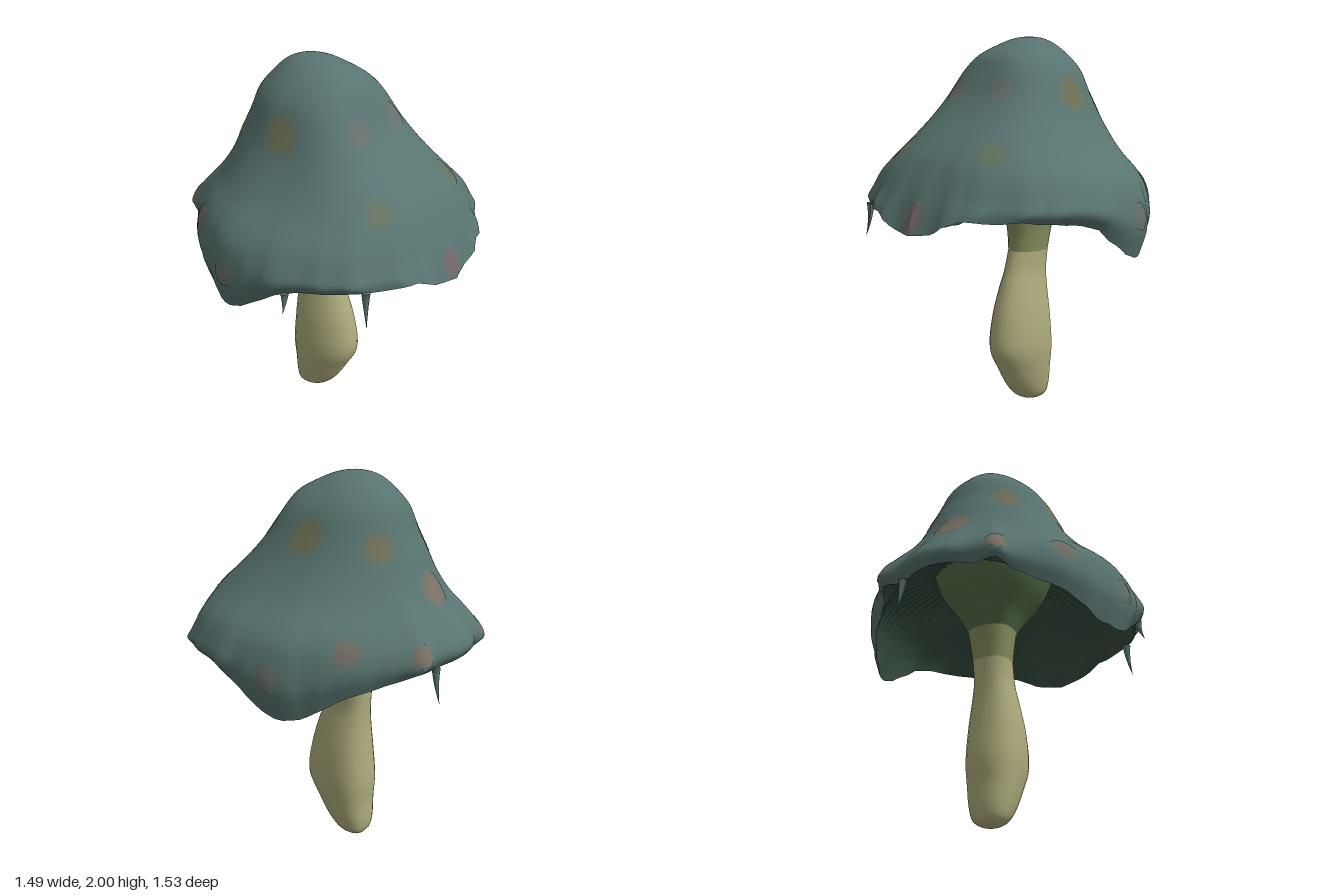
import * as THREE from 'three';

const SEG = 112;
const V = (x, y, z) => new THREE.Vector3(x, y, z);
const rad = THREE.MathUtils.degToRad;
const lerp = THREE.MathUtils.lerp;
const mat = (color) => new THREE.MeshStandardMaterial({ color, roughness: 0.9, side: THREE.DoubleSide });

// Surface through rows of points; rows run top to bottom, points run around +z -> +x
function loft(rows) {
  const n = rows[0].length, pos = [], idx = [];
  rows.forEach((row) => row.forEach((p) => pos.push(p.x, p.y, p.z)));
  for (let r = 0; r < rows.length - 1; r++) {
    for (let c = 0; c < n; c++) {
      const d = (c + 1) % n, a = r * n, b = a + n;
      idx.push(a + c, b + c, a + d, b + c, b + d, a + d);
    }
  }
  const g = new THREE.BufferGeometry();
  g.setAttribute('position', new THREE.Float32BufferAttribute(pos, 3));
  g.setIndex(idx);
  g.computeVertexNormals();
  return g;
}

function add(group, name, geometry, material) {
  const m = new THREE.Mesh(geometry, material);
  m.name = name;
  group.add(m);
  return m;
}

// Point on an egg-shaped ring: front z, back z, half width, centre z;
// the powers make the front or back half squarer (above 2) or more pointed (below 2)
function ringPoint(a, y, zf, zb, w, zc, frontPower, backPower) {
  const s = Math.sin(a), c = Math.cos(a), p = c > 0 ? frontPower : backPower;
  const k = (Math.abs(s) ** p + Math.abs(c) ** p) ** (-1 / p);
  return V(w * s * k, y, zc + c * k * (c > 0 ? zf - zc : zc - zb));
}

// Rim height by angle from the front, mirrored left and right
const rimKeys = [[0, 1.04], [12, 1.07], [22, 1.13], [45, 1.13], [66, 1.11], [74, 1.07], [82, 1.0], [90, 0.93], [98, 0.89],
  [106, 0.905], [114, 0.95], [124, 1.01], [142, 1.065], [155, 1.09], [168, 1.12], [180, 1.13]];
function rimHeight(a) {
  const d = Math.abs(THREE.MathUtils.radToDeg(Math.atan2(Math.sin(a), Math.cos(a))));
  const i = Math.max(1, rimKeys.findIndex((k) => d <= k[0] + 1e-6));
  const [p, q] = [rimKeys[i - 1], rimKeys[i]];
  return lerp(p[1], q[1], (d - p[0]) / (q[0] - p[0]));
}

// Ragged ripple of the rim, plus a curled corner at each side of the back
function ripple(a) {
  const s = Math.abs(Math.atan2(Math.sin(a), Math.cos(a)));
  const rag = 0.5 * Math.cos(14 * s + 1) + 0.4 * Math.cos(25 * s) + 0.3 * Math.cos(37 * s + 2);
  return rag * (0.6 + 0.4 * Math.cos(a)) * 0.02 + 0.07 * Math.exp(-(((s - 2.7) / 0.09) ** 2));
}

// Cap levels: y, front z, back z, half width, front power, back power
const capRows = [[2, -0.12, -0.12, 0, 2, 2], [1.99, -0.04, -0.2, 0.07, 2, 2], [1.96, 0.05, -0.27, 0.135, 2, 2],
  [1.9, 0.16, -0.335, 0.215, 2.5, 2], [1.82, 0.215, -0.4, 0.285, 2.8, 2], [1.7, 0.285, -0.445, 0.34, 3.1, 2],
  [1.6, 0.37, -0.495, 0.39, 3.1, 2], [1.5, 0.475, -0.54, 0.46, 2.9, 1.95], [1.4, 0.575, -0.6, 0.55, 2.75, 1.85],
  [1.31, 0.635, -0.68, 0.655, 2.6, 1.75], [1.22, 0.685, -0.755, 0.715, 2.45, 1.68]];

function capColumn(a) {
  const pts = capRows.map(([y, zf, zb, w, fp, bp], i) => {
    const p = ringPoint(a, y, zf, zb, w, lerp(-0.12, -0.03, i / 10), fp, bp);
    const k = 1 + ripple(a) * Math.max(0, i - 7) / 4;
    return p.set(p.x * k, p.y, p.z * k);
  });
  const rim = rimHeight(a), k = 1 + ripple(a) * 1.1;
  const mid = ringPoint(a, (1.2 + rim) / 2 + 0.005, 0.725, -0.765, 0.745, -0.03, 2.3, 1.66);
  const low = ringPoint(a, rim + ripple(a) * 0.4, 0.755, -0.735, 0.7 + 0.02 * Math.cos(a) ** 2, -0.03, 2.2, 1.66);
  pts.push(mid.set(mid.x * k, mid.y, mid.z * k), low.set(low.x * k, low.y, low.z * k));
  return new THREE.CatmullRomCurve3(pts, false, 'catmullrom', 0.5);
}

const angles = Array.from({ length: SEG }, (_, i) => (i / SEG) * Math.PI * 2);

function capGeometry() {
  const cols = angles.map(capColumn), rows = [];
  for (let r = 0; r <= 44; r++) rows.push(cols.map((c) => c.getPoint(r / 44)));
  return loft(rows);
}

// Hollow underside with fine radial gills: size, share of the rise from rim to ceiling, extra height
function undersideGeometry() {
  const levels = [[0.95, 0.3, 0], [0.91, 0.6, 0], [0.84, 0.9, 0], [0.74, 1, 0.03], [0.6, 1, 0.1], [0.45, 1, 0.17], [0.2, 1, 0.22]];
  const rows = [angles.map((a) => capColumn(a).getPoint(1))];
  levels.forEach(([s, up, extra], i) => rows.push(angles.map((a, c) => {
    const y = lerp(rimHeight(a), 1.25, up) + extra - (c % 2 && i ? 0.02 : 0);
    return ringPoint(a, y, 0.74 * s, -0.74 * s, 0.72 * s, -0.03 * s, 2.2, 1.68);
  })));
  return loft(rows);
}

// Soft round patch lying on the cap
function spotGeometry(angle, y, r, lift) {
  const at = (a, t) => capColumn(a).getPoint(Math.min(t, 1));
  let t = 0.05;
  while (t < 0.95 && at(angle, t).y > y) t += 0.005;
  const e = 0.02, p = at(angle, t);
  const da = (r * e) / at(angle + e, t).distanceTo(p), dt = (r * e) / at(angle, t + e).distanceTo(p);
  const rows = [];
  for (let i = 0; i <= 5; i++) {
    rows.push(Array.from({ length: 20 }, (_, j) => {
      const b = (j / 20) * Math.PI * 2, u = angle + Math.sin(b) * da * i / 5, v = t + Math.cos(b) * dt * i / 5;
      const q = at(u, v);
      const n = at(u, v + 0.01).sub(q).cross(at(u + 0.01, v).sub(q)).normalize();
      return q.addScaledVector(n, lift);
    }));
  }
  return loft(rows);
}

// Stem levels: y, front z, back z, half width; the back is squarer than the front
function stemGeometry(levels, steps) {
  const cols = angles.filter((_, i) => i % 4 === 0).map((a) => new THREE.CatmullRomCurve3(
    levels.map(([y, zf, zb, w]) => ringPoint(a, y, zf, zb, w, lerp(zf, zb, 0.58), 2, 2.7)), false, 'catmullrom', 0.5));
  return loft(Array.from({ length: steps + 1 }, (_, r) => cols.map((c) => c.getPoint(r / steps))));
}

// Thin drooping shred hanging from the rim
function shredGeometry(length) {
  const g = new THREE.ConeGeometry(0.022, length, 6, 5);
  g.rotateX(Math.PI);
  g.translate(0, -length / 2, 0);
  const p = g.attributes.position;
  for (let i = 0; i < p.count; i++) p.setX(i, p.getX(i) + 0.03 * (p.getY(i) / length) ** 2);
  g.computeVertexNormals();
  return g;
}

export function createModel() {
  const model = new THREE.Group();
  model.name = 'mushroom';
  const capMat = mat(0x587470);

  add(model, 'cap', capGeometry(), capMat);
  add(model, 'gills', undersideGeometry(), mat(0x3a5042));

  // Spots: angle from the front, height, radius, colour; mirrored
  const spots = new THREE.Group();
  spots.name = 'spots';
  [[86, 1.7, 0.1, 0x6e7154], [143, 1.66, 0.085, 0x706f56], [180, 1.45, 0.1, 0x7b7064], [24, 1.72, 0.08, 0x66706e],
    [32, 1.43, 0.08, 0x64735f], [125, 1.24, 0.075, 0x706e64], [0, 1.12, 0.08, 0x75686a], [95, 1.12, 0.07, 0x686f6b],
    [154, 1.2, 0.06, 0x7b7064]].forEach(([deg, y, r, color]) => {
    for (const s of deg % 180 ? [1, -1] : [1]) {
      const halo = new THREE.Color(0x587470).lerp(new THREE.Color(color), 0.5);
      add(spots, 'spotHalo', spotGeometry(rad(deg) * s, y, r, 0.0025), mat(halo));
      add(spots, 'spotCentre', spotGeometry(rad(deg) * s, y, r * 0.65, 0.004), mat(color));
    }
  });
  model.add(spots);

  // Stem, with a darker flare that meets the gills
  add(model, 'stem', stemGeometry([[0.86, 0.01, -0.21, 0.098], [0.75, 0.05, -0.205, 0.095], [0.65, 0.09, -0.205, 0.11],
    [0.5, 0.135, -0.215, 0.132], [0.33, 0.155, -0.228, 0.14], [0.2, 0.09, -0.22, 0.126], [0.1, 0.03, -0.22, 0.108],
    [0.035, -0.03, -0.21, 0.085], [0.005, -0.09, -0.18, 0.045], [0, -0.13, -0.13, 0]], 44), mat(0xaeac7c));
  add(model, 'stemNeck', stemGeometry([[1.03, 0.02, -0.235, 0.122], [0.95, 0.01, -0.222, 0.11],
    [0.86, 0.01, -0.21, 0.098]], 8), mat(0x87905f));
  add(model, 'stemFlare', stemGeometry([[1.45, 0.27, -0.42, 0.33], [1.35, 0.24, -0.39, 0.3], [1.24, 0.18, -0.35, 0.255],
    [1.12, 0.08, -0.28, 0.17], [1.03, 0.02, -0.235, 0.122]], 18), mat(0x566d48));

  // Shreds on the rim: angle from the front and length
  [[-42, 0.18], [-70, 0.1], [164, 0.18]].forEach(([deg, length]) => {
    const m = add(model, 'rimShred', shredGeometry(length), capMat);
    m.position.copy(capColumn(rad(deg)).getPoint(0.985));
    m.rotation.y = rad(deg) - Math.PI / 2;
  });
  return model;
}
